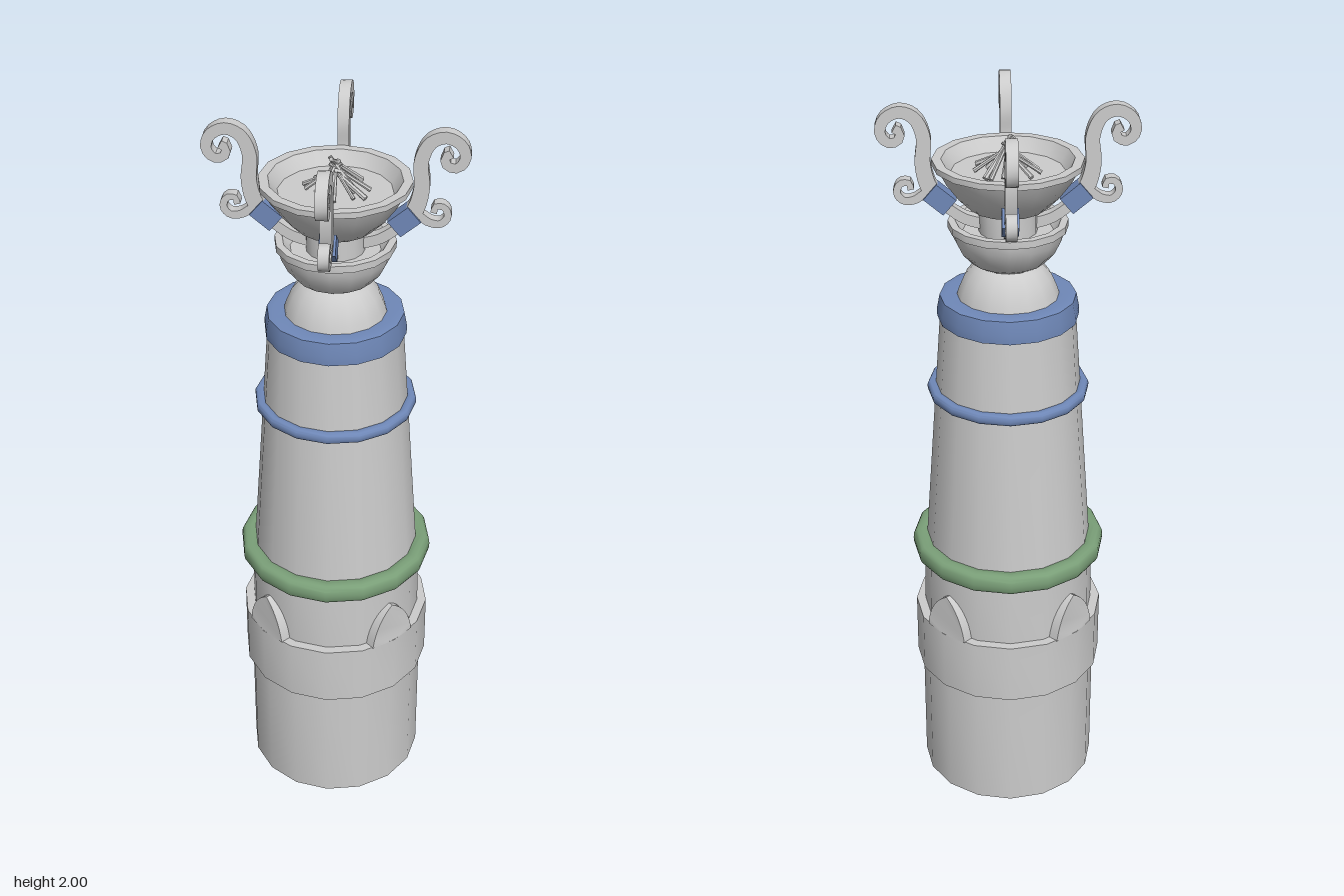
import * as THREE from 'three';
import { toCreasedNormals } from 'three/addons/utils/BufferGeometryUtils.js';

const SIDES = 16;
const mat = (color) => new THREE.MeshStandardMaterial({ color, side: THREE.DoubleSide });
const grey = mat(0xcccccc), blue = mat(0x6f88b8), green = mat(0x7a9f78);

export function createModel() {
  const model = new THREE.Group();

  function add(name, geometry, material = grey, parent = model) {
    const mesh = new THREE.Mesh(toCreasedNormals(geometry, 0.62), material);
    mesh.name = name;
    parent.add(mesh);
    return mesh;
  }

  // Turned part from [radius, height] pairs, listed bottom to top on the outside
  function turned(name, profile, material) {
    const pts = profile.map(([r, y]) => new THREE.Vector2(r, y));
    return add(name, new THREE.LatheGeometry(pts, SIDES), material);
  }

  // Rounded hoop around the column
  function hoop(name, radius, y, halfWidth, halfHeight, material, power = 0.7) {
    const profile = [];
    for (let i = 0; i <= 16; i++) {
      const a = -Math.PI / 2 + (i / 16) * Math.PI * 2;
      const soft = (v) => Math.sign(v) * Math.abs(v) ** power;
      profile.push([radius + halfWidth * soft(Math.cos(a)), y + halfHeight * soft(Math.sin(a))]);
    }
    return turned(name, profile, material);
  }

  // Curling strip in the radius/height plane, tapering from width w0 to w1
  function scroll(points, w0, w1, thickness) {
    const curve = new THREE.CatmullRomCurve3(points.map(([x, y]) => new THREE.Vector3(x, y, 0)));
    const left = [], right = [], steps = 36;
    for (let i = 0; i <= steps; i++) {
      const t = i / steps, p = curve.getPointAt(t), d = curve.getTangentAt(t);
      const h = THREE.MathUtils.lerp(w0, w1, t) / 2;
      left.push(new THREE.Vector2(p.x - d.y * h, p.y + d.x * h));
      right.push(new THREE.Vector2(p.x + d.y * h, p.y - d.x * h));
    }
    const shape = new THREE.Shape([...left, ...right.reverse()]);
    return new THREE.ExtrudeGeometry(shape, { depth: thickness, bevelEnabled: false })
      .translate(0, 0, -thickness / 2);
  }

  // Column
  turned('base', [[0, 0], [0.245, 0], [0.245, 0.38]]);
  turned('baseBand', [[0.235, 0.37], [0.261, 0.37], [0.261, 0.545], [0.22, 0.545]]);
  turned('lowerShaft', [[0.236, 0.54], [0.234, 0.74]]);
  turned('shaft', [[0.228, 0.74], [0.177, 1.45], [0.1, 1.48]]);
  hoop('lowerHoop', 0.24, 0.748, 0.025, 0.028, green);
  hoop('middleHoop', 0.201, 1.226, 0.014, 0.015, blue);
  turned('collar', [[0.165, 1.43], [0.185, 1.432], [0.185, 1.455], [0.178, 1.492], [0.16, 1.496], [0.11, 1.49]], blue);

  // Dome, neck and the two bowls
  turned('dome', [[0.135, 1.485], [0.128, 1.51], [0.113, 1.545], [0.092, 1.57], [0.074, 1.582]]);
  turned('lowerBowl', [[0.07, 1.575], [0.1, 1.592], [0.125, 1.62], [0.142, 1.655], [0.147, 1.678],
    [0.154, 1.678], [0.154, 1.697], [0.135, 1.697], [0.115, 1.67], [0, 1.665]]);
  turned('upperBowl', [[0.075, 1.66], [0.075, 1.725], [0.1, 1.735], [0.135, 1.77], [0.168, 1.815], [0.182, 1.842],
    [0.192, 1.845], [0.192, 1.86], [0.168, 1.86], [0.145, 1.825], [0, 1.825]]);

  // Four pointed leaves above the band, bent round the shaft
  const leafShape = new THREE.Shape();
  leafShape.moveTo(-0.07, 0);
  leafShape.bezierCurveTo(-0.062, 0.06, -0.035, 0.1, 0, 0.118);
  leafShape.bezierCurveTo(0.035, 0.1, 0.062, 0.06, 0.07, 0);
  leafShape.lineTo(0, 0);
  for (let i = 0; i < 4; i++) {
    const geo = new THREE.ExtrudeGeometry(leafShape, { depth: 0.045, bevelEnabled: false, curveSegments: 8 });
    const p = geo.attributes.position;
    for (let j = 0; j < p.count; j++) {
      const x = p.getX(j), y = p.getY(j);
      p.setZ(j, p.getZ(j) + 0.215 - 2 * x * x - 0.9 * y * y);
    }
    geo.translate(0, 0.543, 0);
    add('leaf', geo).rotation.y = i * Math.PI / 2;
  }

  // Four scrolled brackets on the diagonals
  const tall = [[0.165, 1.75], [0.198, 1.79], [0.213, 1.85], [0.21, 1.92], [0.232, 1.97], [0.27, 1.985],
    [0.307, 1.965], [0.316, 1.93], [0.297, 1.907], [0.272, 1.913], [0.268, 1.935], [0.282, 1.943]];
  const small = [[0.06, 1.69], [0.11, 1.705], [0.16, 1.74], [0.2, 1.775], [0.235, 1.757], [0.262, 1.755],
    [0.279, 1.775], [0.27, 1.8], [0.248, 1.801], [0.244, 1.784]];
  for (let i = 0; i < 4; i++) {
    const bracket = new THREE.Group();
    bracket.name = 'bracket';
    bracket.rotation.y = Math.PI / 4 + i * Math.PI / 2;
    add('tallScroll', scroll(tall, 0.045, 0.022, 0.03), grey, bracket);
    add('smallScroll', scroll(small, 0.03, 0.016, 0.028), grey, bracket);
    const block = add('bracketBlock', new THREE.BoxGeometry(0.065, 0.052, 0.042), blue, bracket);
    block.position.set(0.172, 1.758, 0);
    block.rotation.z = 0.7;
    model.add(bracket);
  }

  // Pile of sticks leaning together in the upper bowl
  let seed = 11;
  const rand = () => (seed = (seed * 16807) % 2147483647) / 2147483647;
  const sticks = new THREE.Group();
  sticks.name = 'sticks';
  const up = new THREE.Vector3(0, 1, 0);
  for (let i = 0; i < 15; i++) {
    const a = (i / 15) * Math.PI * 2 + rand() * 0.4;
    const reach = 0.05 + rand() * 0.045;
    const foot = new THREE.Vector3(Math.cos(a) * reach, 1.83, Math.sin(a) * reach);
    const tip = new THREE.Vector3(-Math.cos(a) * 0.015, 1.885 + rand() * 0.032, -Math.sin(a) * 0.015);
    const dir = tip.clone().sub(foot);
    const r = 0.005 + rand() * 0.004;
    const stick = add('stick', new THREE.CylinderGeometry(r * 0.7, r, dir.length(), 7), grey, sticks);
    stick.position.copy(foot).add(tip).multiplyScalar(0.5);
    stick.quaternion.setFromUnitVectors(up, dir.normalize());
  }
  model.add(sticks);

  return model;
}
